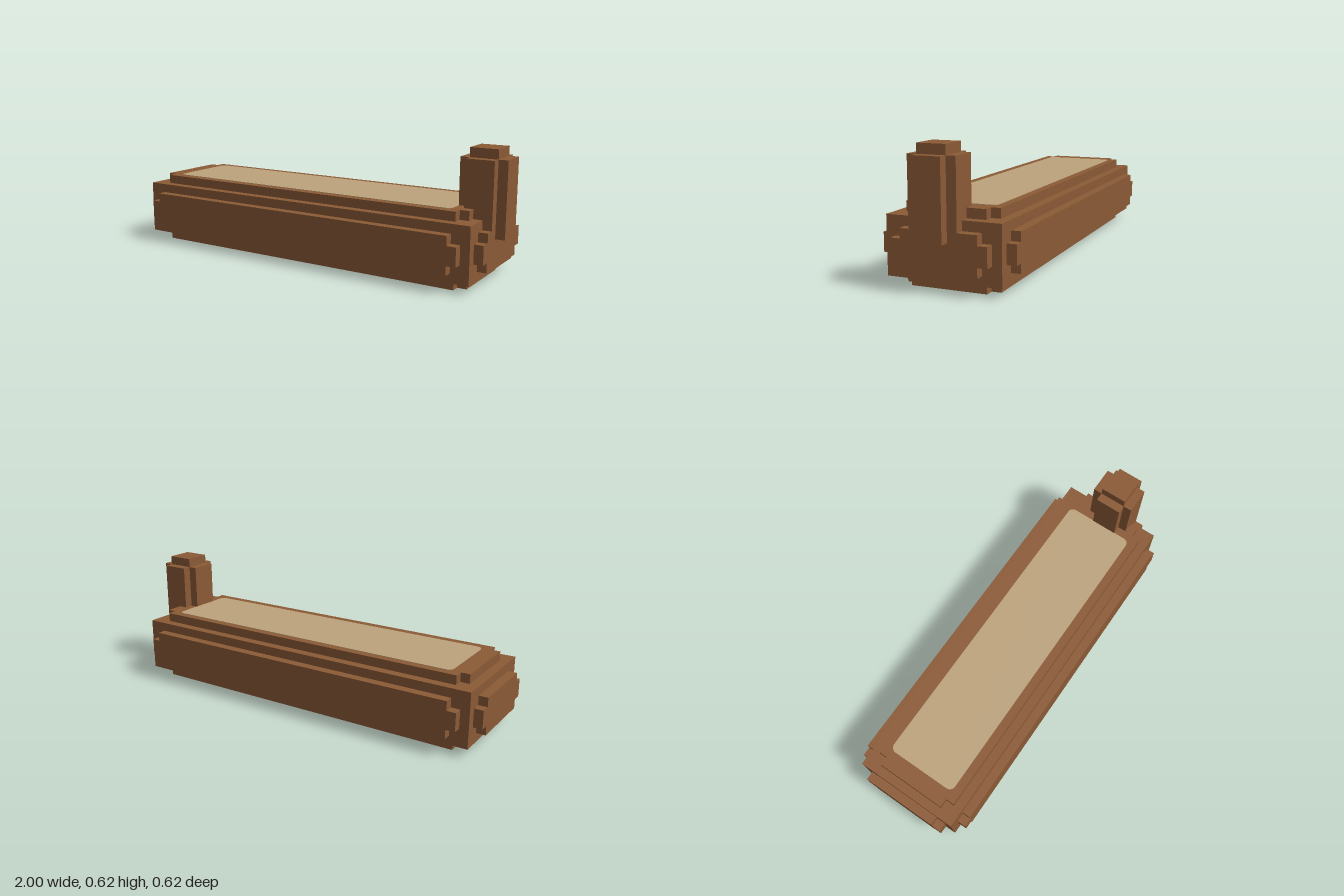
import * as THREE from 'three';

const U = 0.0444; // size of one block step

export function createModel() {
  const model = new THREE.Group();
  const wood = new THREE.MeshStandardMaterial({ name: 'brown bark', color: 0x8b5a36 });
  const cut = new THREE.MeshStandardMaterial({ name: 'tan cut wood', color: 0xbda37d });

  const box = (name, parent, [x0, x1], [y0, y1], [z0, z1]) => {
    const mesh = new THREE.Mesh(new THREE.BoxGeometry(x1 - x0, y1 - y0, z1 - z0), wood);
    mesh.position.set((x0 + x1) / 2, (y0 + y1) / 2, (z0 + z1) / 2);
    mesh.name = name;
    parent.add(mesh);
  };

  // Log: a block with stepped edges, made of boxes inset by whole steps per axis
  const log = new THREE.Group();
  log.name = 'log';
  const insets = [[1, 1, 1], [0, 2, 3], [0, 3, 2], [2, 0, 3], [3, 0, 2], [2, 3, 0], [3, 2, 0]];
  for (const [a, b, c] of insets) {
    box('logLayer', log,
      [-1 + a * U, 0.955 - a * U],
      [b * U, 0.356 - b * U],
      [-0.311 + c * U, 0.311 - c * U]);
  }
  model.add(log);

  // Upright branch stub: plus-shaped post with a smaller cap
  const stub = new THREE.Group();
  stub.name = 'branchStub';
  box('stubLengthwise', stub, [0.778, 1], [0.223, 0.578], [-0.044, 0.089]);
  box('stubCrosswise', stub, [0.822, 0.955], [0.223, 0.578], [-0.089, 0.133]);
  box('stubCap', stub, [0.822, 0.955], [0.5, 0.623], [-0.044, 0.089]);
  model.add(stub);

  // Cut surface: thin rounded plate on top of the log
  const x0 = -0.825, x1 = 0.78, z = 0.182, r = 0.03;
  const outline = new THREE.Shape();
  outline.absarc(x1 - r, z - r, r, 0, Math.PI / 2);
  outline.absarc(x0 + r, z - r, r, Math.PI / 2, Math.PI);
  outline.absarc(x0 + r, -z + r, r, Math.PI, Math.PI * 1.5);
  outline.absarc(x1 - r, -z + r, r, Math.PI * 1.5, Math.PI * 2);
  const plate = new THREE.ExtrudeGeometry(outline, { depth: 0.004, bevelEnabled: false, curveSegments: 4 });
  plate.rotateX(-Math.PI / 2);
  const top = new THREE.Mesh(plate, cut);
  top.position.set(0, 0.354, -0.002);
  top.name = 'cutSurface';
  model.add(top);

  return model;
}
